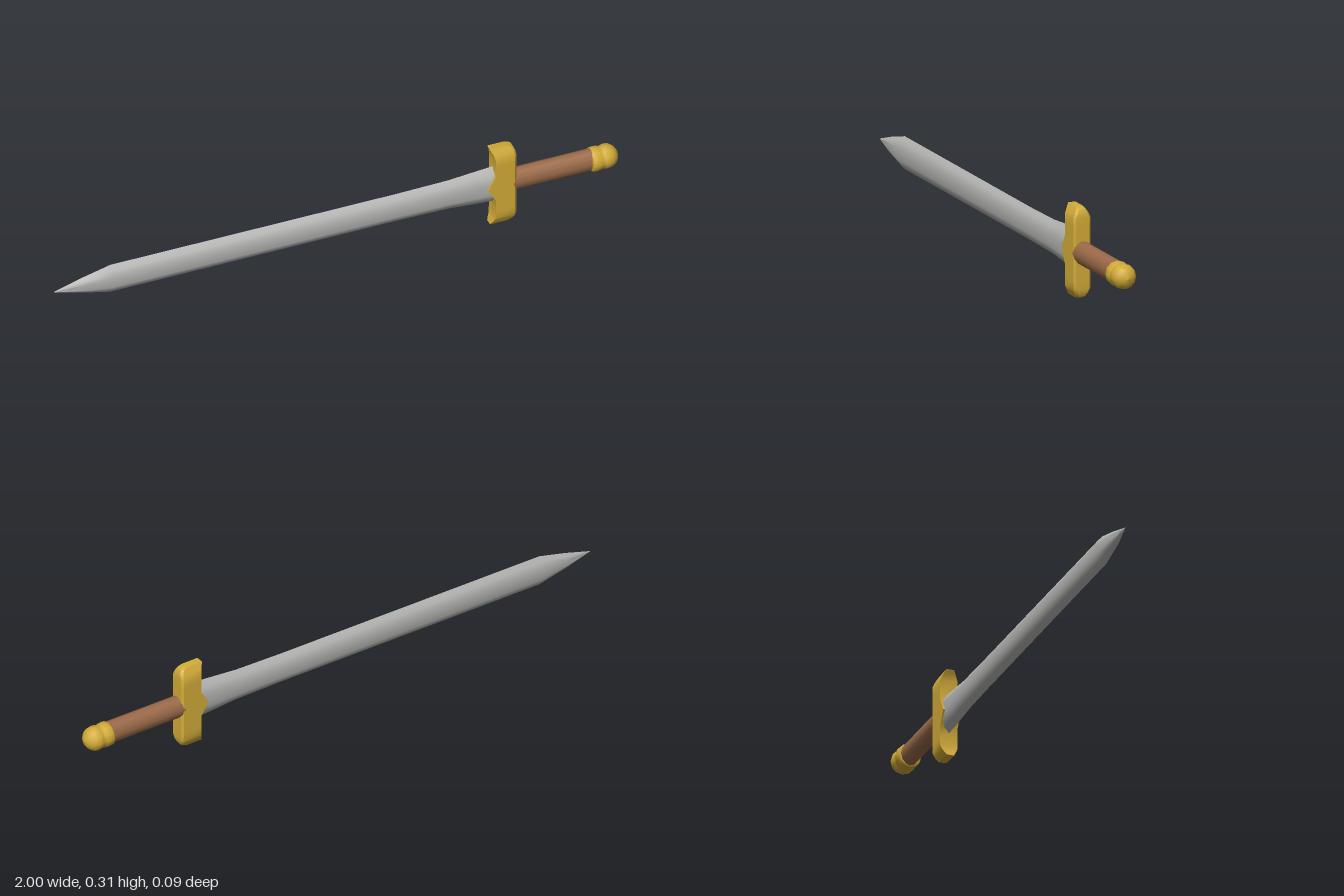
import * as THREE from 'three';
import { toCreasedNormals } from 'three/addons/utils/BufferGeometryUtils.js';

const MID = 0.157; // height of the sword's long axis

const mat = (name, color) => {
  const m = new THREE.MeshStandardMaterial({ color });
  m.name = name;
  return m;
};

// Skins a list of equal-length rings of [x, y, z] points and caps both ends
function loft(rings, crease) {
  const n = rings[0].length;
  const index = [];
  for (let i = 0; i < rings.length - 1; i++) {
    for (let j = 0; j < n; j++) {
      const k = (j + 1) % n;
      const a = i * n + j, b = i * n + k, c = a + n, d = b + n;
      index.push(a, b, d, a, d, c);
    }
  }
  const last = (rings.length - 1) * n;
  for (let j = 1; j < n - 1; j++) {
    index.push(0, j + 1, j, last, last + j, last + j + 1);
  }
  const g = new THREE.BufferGeometry();
  g.setAttribute('position', new THREE.Float32BufferAttribute(rings.flat(2), 3));
  g.setIndex(index);
  return toCreasedNormals(g, crease);
}

export function createModel() {
  const steel = mat('steel', 0xb4b5b2);
  const gold = mat('gold', 0xd2ab38);
  const leather = mat('leather', 0x9c6b49);

  const sword = new THREE.Group();
  sword.name = 'sword';
  const add = (name, geometry, material) => {
    const mesh = new THREE.Mesh(geometry, material);
    mesh.name = name;
    sword.add(mesh);
    return mesh;
  };

  // Blade: lens section with a shallow fuller, [height, thickness] as fractions
  const half = [[1, 0], [0.72, 0.6], [0.38, 1], [0, 0.9], [-0.38, 1], [-0.72, 0.6]];
  const section = [...half, ...half.map(([y, z]) => [-y, -z])];
  // Stations along the blade: [x, half height, half thickness]
  const stations = [
    [-1, 0.001, 0.001], [-0.9, 0.031, 0.016], [-0.8, 0.056, 0.024], [0.22, 0.056, 0.025],
    [0.4, 0.059, 0.025], [0.48, 0.066, 0.026], [0.58, 0.074, 0.027],
  ];
  add('blade', loft(stations.map(([x, h, t]) =>
    section.map(([y, z]) => [x, MID + y * h, z * t])), 0.9), steel);

  // Crossguard: sections from bottom to top, [offset from middle, blade side x, grip side x, half depth]
  const upper = [
    [0, 0.529, 0.632, 0.031], [0.048, 0.557, 0.632, 0.031], [0.09, 0.557, 0.632, 0.031],
    [0.12, 0.556, 0.632, 0.031], [0.136, 0.552, 0.63, 0.024],
    [0.148, 0.546, 0.624, 0.017], [0.155, 0.543, 0.61, 0.013],
  ];
  const lower = upper.slice(1).reverse().map(([y, ...rest]) => [-y, ...rest]);
  const b = 0.007;
  add('crossguard', loft([...lower, ...upper].map(([o, x0, x1, d]) => {
    const y = 0.155 + o;
    return [[x0, y, d], [x1 - b, y, d], [x1, y, d - b], [x1, y, b - d], [x1 - b, y, -d], [x0, y, -d]];
  }), 0.6), gold);

  // Grip: slightly flattened round handle
  const grip = add('grip', new THREE.CylinderGeometry(0.04, 0.04, 0.3, 12), leather);
  grip.rotation.z = -Math.PI / 2;
  grip.scale.z = 0.8;
  grip.position.set(0.77, MID, 0);

  // Pommel: collar, small neck and domed end
  const profile = [
    [0, 0], [0.036, 0], [0.042, 0.006], [0.043, 0.02], [0.041, 0.034], [0.038, 0.04],
    [0.041, 0.047], [0.043, 0.058], [0.04, 0.073], [0.032, 0.086], [0.018, 0.096], [0, 0.1],
  ].map(([r, l]) => new THREE.Vector2(r, l));
  const pommel = add('pommel', new THREE.LatheGeometry(profile, 12), gold);
  pommel.rotation.z = -Math.PI / 2;
  pommel.position.set(0.9, MID - 0.002, 0);

  return sword;
}
